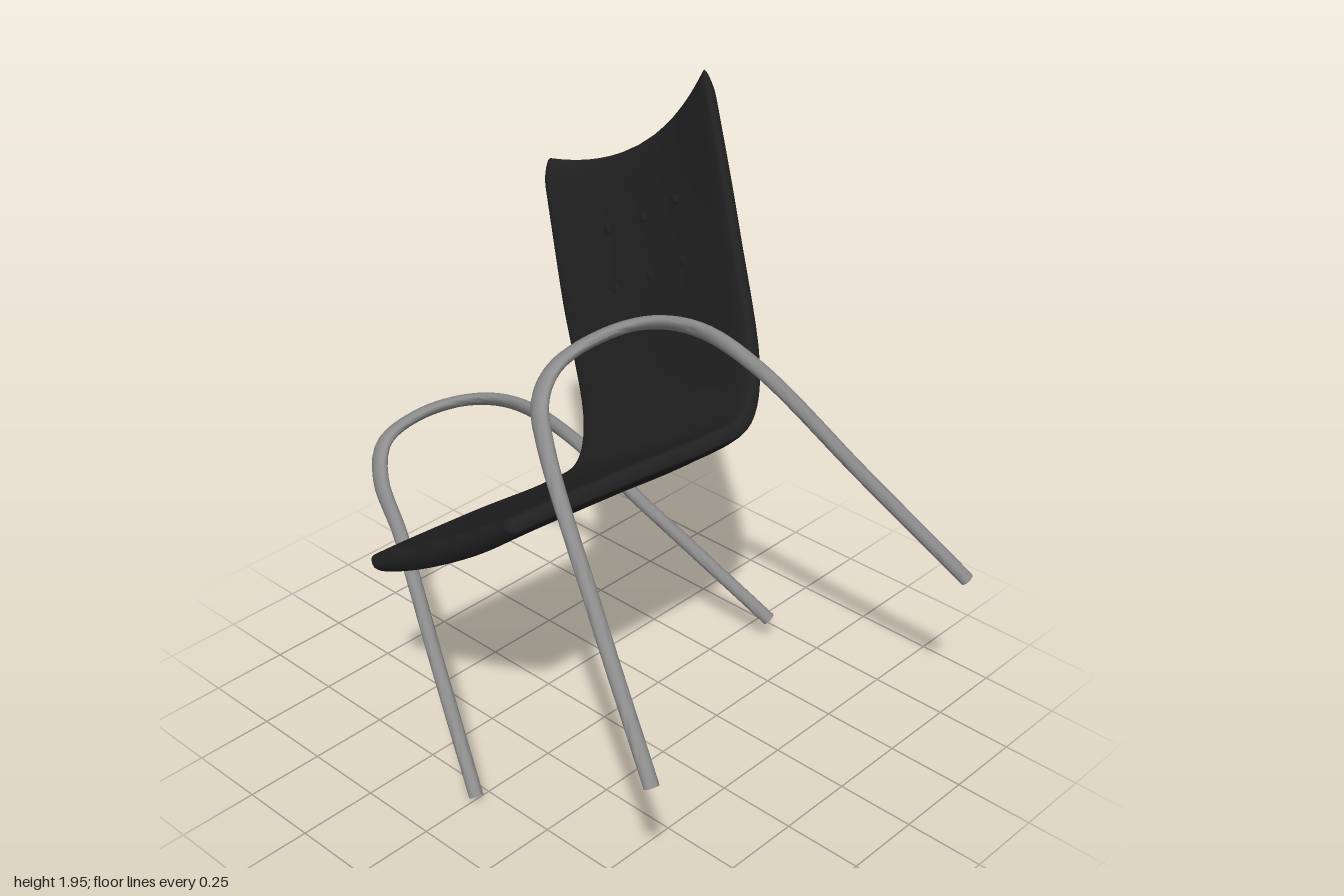
import * as THREE from 'three';
import { toCreasedNormals } from 'three/addons/utils/BufferGeometryUtils.js';

const V = (p) => new THREE.Vector3(...p);
const curve = (pts) => new THREE.CatmullRomCurve3(pts.map(V));

// Skin a row of closed rings; point(i, k) gives corner k of ring i.
function loft(rings, sides, point) {
  const pos = [], idx = [];
  for (let i = 0; i < rings; i++) {
    for (let k = 0; k < sides; k++) {
      pos.push(...point(i, k).toArray());
      if (i === rings - 1) continue;
      const a = i * sides + k, b = i * sides + (k + 1) % sides;
      idx.push(a, b, b + sides, a, b + sides, a + sides);
    }
  }
  const g = new THREE.BufferGeometry();
  g.setAttribute('position', new THREE.Float32BufferAttribute(pos, 3));
  g.setIndex(idx);
  g.computeVertexNormals();
  return g;
}

// The two long edges of the shell, from seat front over the bend to the back's top.
const edgeA = curve([[-0.66, 1.15, 0.30], [-0.55, 1.155, 0.315], [-0.2, 1.15, 0.35], [0.05, 1.14, 0.37],
  [0.19, 1.15, 0.375], [0.28, 1.24, 0.33], [0.42, 1.59, 0.12], [0.565, 1.98, -0.13]]);
const edgeB = curve([[-0.59, 0.69, -0.38], [-0.5, 0.69, -0.375], [-0.2, 0.69, -0.345], [0.08, 0.68, -0.32],
  [0.22, 0.69, -0.325], [0.31, 0.78, -0.37], [0.445, 1.12, -0.6], [0.595, 1.48, -0.84]]);

// Point of the shell: t along it, v across it (-1..1), lift off its middle surface.
function shellPoint(t, v, lift) {
  const a = edgeA.getPoint(t), b = edgeB.getPoint(t);
  const tangent = edgeA.getTangent(t).add(edgeB.getTangent(t)).normalize();
  const normal = tangent.clone().cross(b.clone().sub(a)).normalize();
  const bow = 1 - v * v;
  const back = THREE.MathUtils.smoothstep(t, 0.6, 1);
  const top = THREE.MathUtils.smoothstep(t, 0.8, 1);
  const p = a.lerp(b, (v + 1) / 2)
    .addScaledVector(normal, lift - bow * (0.02 + 0.03 * back))
    .addScaledVector(tangent, -0.1 * bow * top);
  return { p, normal };
}

function shellGeometry() {
  const rings = 64, sides = 48;
  const power = (x, e) => Math.sign(x) * Math.abs(x) ** e;
  return loft(rings, sides, (i, k) => {
    const t = (1 - Math.cos(Math.PI * i / (rings - 1))) / 2;
    const taper = Math.sqrt(Math.min(1, Math.min(t, 1 - t) / 0.025));
    const ang = k / sides * Math.PI * 2;
    const v = power(Math.cos(ang), 0.75) * (0.94 + 0.06 * taper);
    const half = 0.036 - 0.008 * THREE.MathUtils.smoothstep(t, 0.7, 1);
    return shellPoint(t, v, power(Math.sin(ang), 0.35) * half * taper).p;
  });
}

// Bent tube, round at the feet and flattened along the armrest.
const across = new THREE.Vector3(-0.048, 0.561, 0.826).normalize();
function frameGeometry(points) {
  const path = curve(points), rings = 90, sides = 16;
  const g = loft(rings + 2, sides, (i, k) => {
    const t = THREE.MathUtils.clamp((i - 1) / (rings - 1), 0, 1);
    const size = i === 0 || i === rings + 1 ? 0 : 1;
    const tangent = path.getTangentAt(t);
    const side = across.clone().addScaledVector(tangent, -across.dot(tangent)).normalize();
    const out = tangent.clone().cross(side);
    const flat = THREE.MathUtils.smoothstep(t, 0.25, 0.42) * (1 - THREE.MathUtils.smoothstep(t, 0.52, 0.7));
    const ang = k / sides * Math.PI * 2;
    return path.getPointAt(t)
      .addScaledVector(side, Math.cos(ang) * size * (0.022 + 0.016 * flat))
      .addScaledVector(out, Math.sin(ang) * size * (0.022 - 0.004 * flat));
  });
  return toCreasedNormals(g, 0.9);
}

export function createModel() {
  const group = new THREE.Group();
  group.name = 'armchair';
  const leather = new THREE.MeshStandardMaterial({ color: 0x212121 });
  leather.name = 'black leather';
  const metal = new THREE.MeshStandardMaterial({ color: 0x8f8f8f });
  metal.name = 'grey metal';
  const add = (geometry, material, name) => {
    const mesh = new THREE.Mesh(geometry, material);
    mesh.name = name;
    group.add(mesh);
    return mesh;
  };

  // Seat and back in one padded shell
  add(shellGeometry(), leather, 'seatAndBack');

  // Tufting buttons on the back
  for (const t of [0.85, 0.92]) {
    for (const v of [-0.4, 0, 0.4]) {
      const { p, normal } = shellPoint(t, v, 0.03);
      const button = add(new THREE.SphereGeometry(0.016, 12, 8), leather, 'backButton');
      button.position.copy(p);
      button.quaternion.setFromUnitVectors(new THREE.Vector3(0, 1, 0), normal);
      button.scale.y = 0.35;
    }
  }

  // Leg and armrest loops on both sides
  add(frameGeometry([[-0.63, 0.55, 0.78], [-0.57, 0.95, 0.52], [-0.505, 1.32, 0.28], [-0.46, 1.41, 0.215],
    [-0.38, 1.465, 0.185], [-0.2, 1.488, 0.175], [0, 1.465, 0.19], [0.15, 1.4, 0.245],
    [0.26, 1.28, 0.36], [0.45, 0.955, 0.6], [0.655, 0.61, 0.855]]), metal, 'upperSideFrame');
  add(frameGeometry([[-0.55, 0.02, 0], [-0.49, 0.36, -0.215], [-0.43, 0.7, -0.425], [-0.41, 0.84, -0.525],
    [-0.35, 0.92, -0.575], [-0.2, 0.95, -0.59], [0, 0.935, -0.565], [0.15, 0.875, -0.52],
    [0.27, 0.76, -0.44], [0.46, 0.45, -0.19], [0.665, 0.1, 0.11]]), metal, 'lowerSideFrame');
  return group;
}
